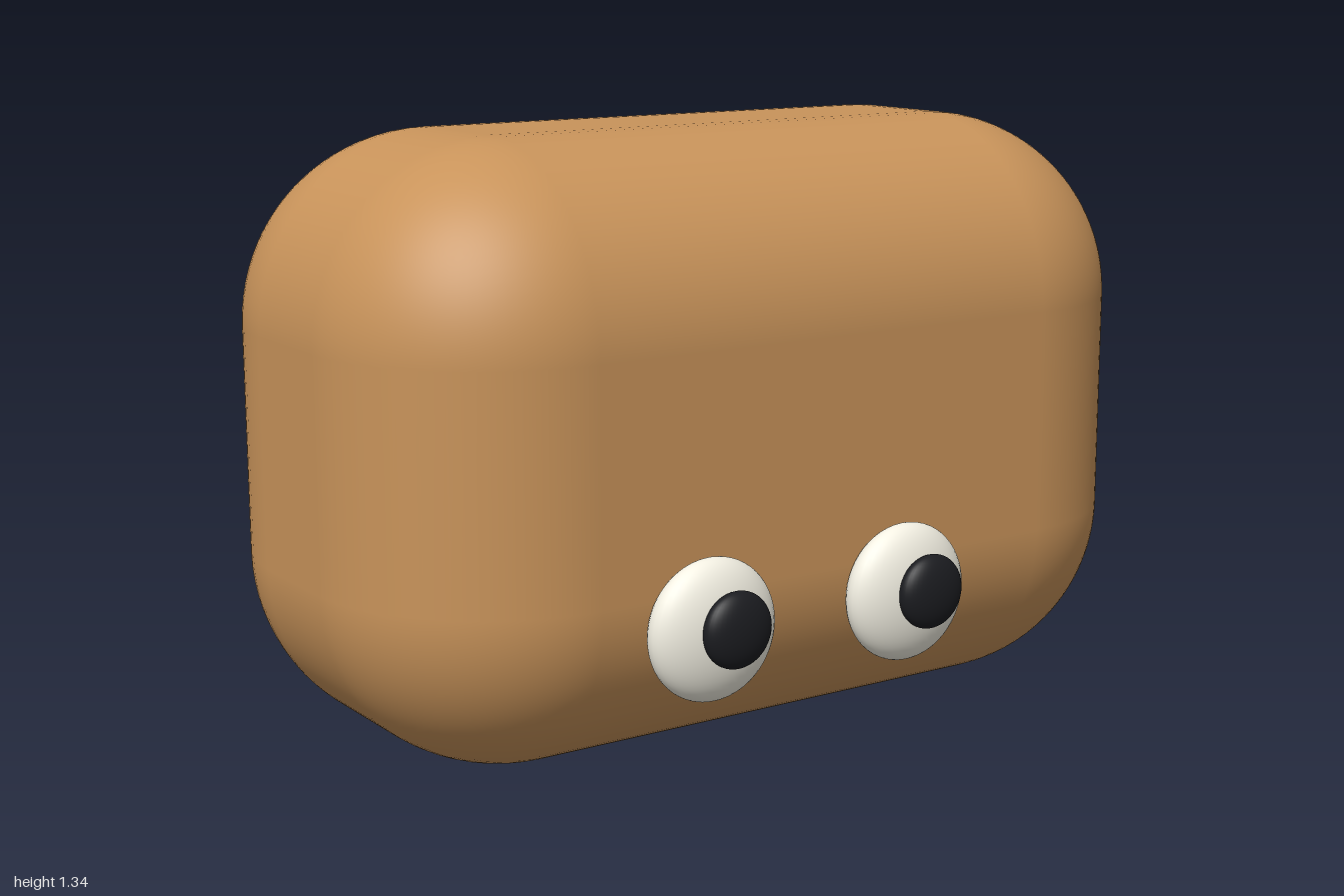
import * as THREE from 'three';
import { RoundedBoxGeometry } from 'three/addons/geometries/RoundedBoxGeometry.js';

const material = (color) => new THREE.MeshStandardMaterial({ color });

export function createModel() {
  const model = new THREE.Group();
  model.name = 'blockCreature';

  // Rounded body block
  const body = new THREE.Mesh(new RoundedBoxGeometry(2, 1.34, 1.095, 12, 0.42), material(0xc8935a));
  body.name = 'body';
  body.position.set(0, 0.67, -0.0625);
  model.add(body);

  // Eyes: flattened spheres, each with a smaller pupil set slightly up and to +x
  const ball = new THREE.SphereGeometry(1, 40, 28);
  const white = material(0xf2efe2);
  const black = material(0x1b1c20);
  const disc = (name, mat, radius, depth, x, y, z) => {
    const mesh = new THREE.Mesh(ball, mat);
    mesh.name = name;
    mesh.scale.set(radius, radius, depth);
    mesh.position.set(x, y, z);
    return mesh;
  };
  for (const [side, x] of [['right', -0.333], ['left', 0.175]]) {
    const eye = new THREE.Group();
    eye.name = `${side}Eye`;
    eye.position.set(x, 0.347, 0.51);
    eye.add(disc(`${side}Eyeball`, white, 0.153, 0.066, 0, 0, 0));
    eye.add(disc(`${side}Pupil`, black, 0.082, 0.037, 0.018, 0.012, 0.066));
    model.add(eye);
  }

  return model;
}
